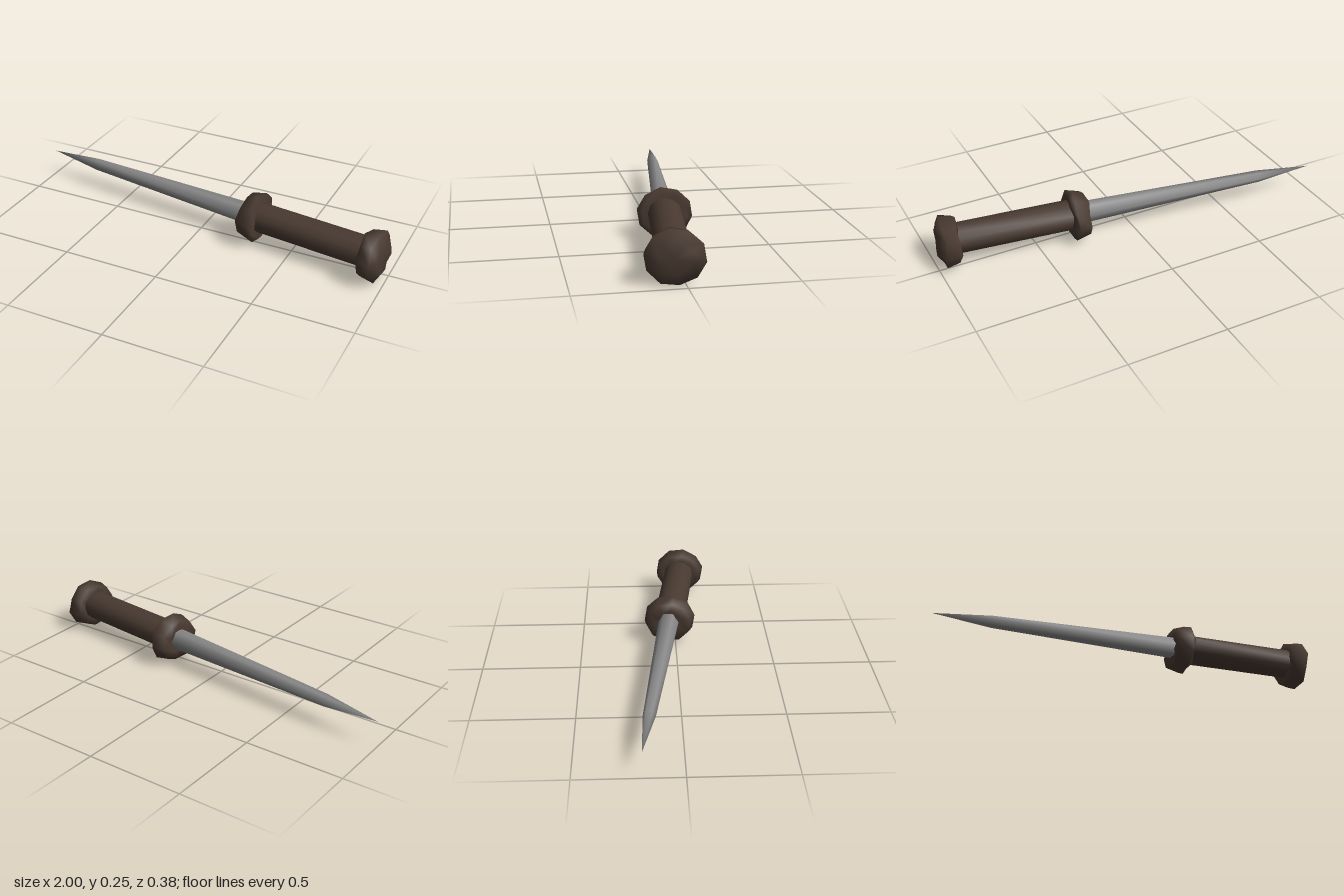
import * as THREE from 'three';
import { mergeVertices } from 'three/addons/utils/BufferGeometryUtils.js';

const CENTRE_Y = 0.128;

// Skin elliptical rings [position along axis, half width, half height, lift]
function loft(rings, sides, phase = 0, lump = 0, seed = 0) {
  const pos = [], index = [];
  rings.forEach(([s, rz, ry, lift = 0], i) => {
    for (let j = 0; j < sides; j++) {
      const a = phase + (j / sides) * Math.PI * 2;
      const wobble = rz > 0 ? Math.sin(j * 2.3 + i * 1.7 + seed) * lump : 0;
      pos.push(s + wobble, lift + ry * Math.sin(a), rz * Math.cos(a));
    }
  });
  for (let i = 0; i < rings.length - 1; i++) {
    for (let j = 0; j < sides; j++) {
      const k = (j + 1) % sides;
      const a = i * sides + j, b = i * sides + k;
      const c = a + sides, d = b + sides;
      index.push(a, c, b, b, c, d);
    }
  }
  let geo = new THREE.BufferGeometry();
  geo.setAttribute('position', new THREE.Float32BufferAttribute(pos, 3));
  geo.setIndex(index);
  geo = mergeVertices(geo, 1e-5);
  geo.computeVertexNormals();
  return geo;
}

export function createModel() {
  const steel = new THREE.MeshStandardMaterial({ color: 0x8a8a8a });
  steel.name = 'steel';
  const leather = new THREE.MeshStandardMaterial({ color: 0x493a31 });
  leather.name = 'darkLeather';

  const model = new THREE.Group();
  model.name = 'dagger';
  // The whole dagger lies slightly turned
  model.position.set(0, CENTRE_Y, -0.068);
  model.rotation.y = -0.122;

  const add = (name, geo, mat) => {
    const mesh = new THREE.Mesh(geo, mat);
    mesh.name = name;
    model.add(mesh);
  };

  // Tapering six-sided blade
  add('blade', loft([
    [-1.007, 0, 0, 0.006],
    [-0.71, 0.03, 0.031, 0.005],
    [0.27, 0.054, 0.055, 0.004],
  ], 6), steel);

  // Lumpy guard, widest toward the grip
  const phase = 0.16;
  add('guard', loft([
    [0.25, 0, 0],
    [0.244, 0.07, 0.065],
    [0.245, 0.118, 0.108],
    [0.312, 0.136, 0.128],
    [0.33, 0.11, 0.104],
    [0.326, 0, 0],
  ], 10, phase, 0.007, 1), leather);

  // Grip
  add('grip', loft([
    [0.3, 0.082, 0.074, 0.004],
    [0.92, 0.082, 0.074, 0.004],
  ], 12), leather);

  // Lumpy pommel with a domed end
  add('pommel', loft([
    [0.9, 0, 0],
    [0.894, 0.08, 0.075],
    [0.896, 0.124, 0.114],
    [0.965, 0.137, 0.128],
    [0.992, 0.075, 0.07],
    [0.99, 0, 0],
  ], 10, phase, 0.007, 3), leather);

  return model;
}
